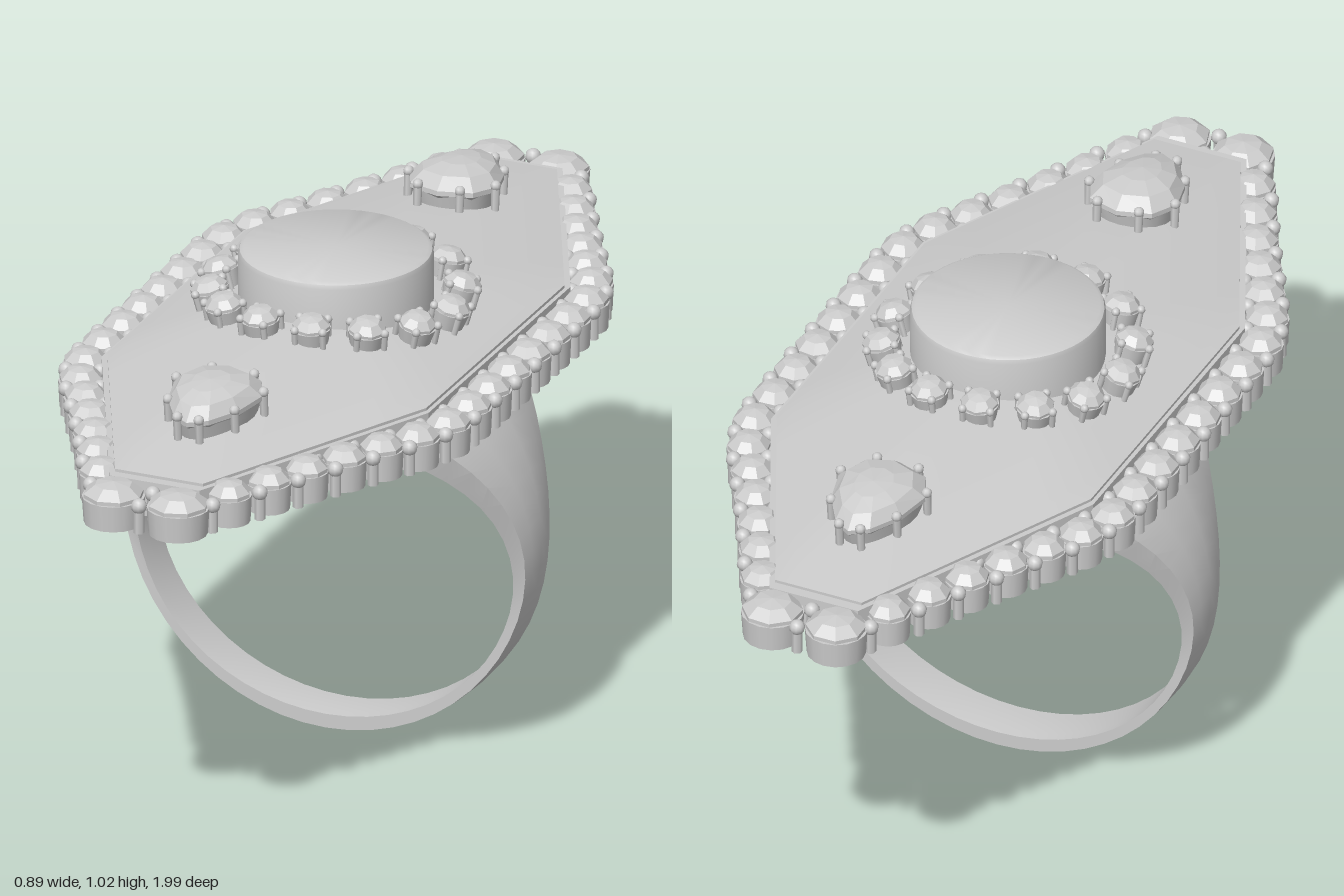
import * as THREE from 'three';
import { mergeVertices, toCreasedNormals } from 'three/addons/utils/BufferGeometryUtils.js';

const smooth = new THREE.MeshStandardMaterial({ color: 0xcccccc });
const faceted = new THREE.MeshStandardMaterial({ color: 0xcccccc, flatShading: true });
const V = (x, y, z) => new THREE.Vector3(x, y, z);

function add(parent, name, geometry, material, x = 0, y = 0, z = 0) {
  const mesh = new THREE.Mesh(geometry, material);
  mesh.name = name;
  mesh.position.set(x, y, z);
  parent.add(mesh);
  return mesh;
}

function lathe(points, segments) {
  return new THREE.LatheGeometry(points.map(p => new THREE.Vector2(p[0], p[1])), segments);
}

// Skin a series of closed cross-sections; wrap joins the last to the first
function skin(loops, wrap, crease) {
  const n = loops[0].length, m = loops.length, index = [];
  for (let i = 0; i < (wrap ? m : m - 1); i++) {
    for (let j = 0; j < n; j++) {
      const a = i * n + j, b = i * n + (j + 1) % n;
      const c = ((i + 1) % m) * n + j, d = ((i + 1) % m) * n + (j + 1) % n;
      index.push(a, b, c, b, d, c);
    }
  }
  const geo = new THREE.BufferGeometry().setFromPoints(loops.flat());
  geo.setIndex(index);
  return toCreasedNormals(mergeVertices(geo), crease);
}

// Elongated octagon outline, shared by the plate, frame and dome
const CORNERS = [[0.345, -0.34], [0.345, 0.34], [0.095, 0.87], [-0.095, 0.87],
  [-0.345, 0.34], [-0.345, -0.34], [-0.095, -0.87], [0.095, -0.87]];

function octagon(scale, Type = THREE.Shape) {
  return new Type(CORNERS.map(([x, z]) => new THREE.Vector2(x * scale, z * scale)));
}

function slab(shape, y0, y1) {
  const geo = new THREE.ExtrudeGeometry(shape, { depth: y1 - y0, bevelEnabled: false });
  return geo.rotateX(-Math.PI / 2).translate(0, y0, 0);
}

const domeY = s => 0.868 + 0.07 * (1 - Math.pow(s, 1.7));

function buildDome() {
  const loops = [];
  for (let i = 0; i <= 12; i++) {
    const s = 0.02 + 0.98 * i / 12, loop = [];
    CORNERS.forEach(([x, z], k) => {
      const [nx, nz] = CORNERS[(k + 1) % 8];
      for (let e = 0; e < 5; e++) {
        const f = e / 5;
        loop.push(V((x + (nx - x) * f) * s, domeY(s), (z + (nz - z) * f) * s));
      }
    });
    loops.push(loop);
  }
  return skin(loops, false, 0.6);
}

// Finger band: thin below, flaring along z up to the plate
function buildShank() {
  const loops = [], N = 56;
  for (let i = 0; i < N; i++) {
    const t = i / N * Math.PI * 2, sx = Math.sin(t), cy = -Math.cos(t);
    const inner = V(0.405 * sx, 0.4 + 0.36 * cy, 0);
    const outer = V(0.445 * sx, 0.465 + 0.46 * cy, 0);
    const up = THREE.MathUtils.smoothstep(outer.y, 0.2, 0.7);
    const at = (f, z) => {
      const p = inner.clone().lerp(outer, f);
      return V(p.x, Math.min(p.y, 0.82), z);
    };
    const edge = 0.9 - 0.3 * up;
    const y = Math.min(at(edge, 0).y, 0.79);
    const w = 0.05 + 0.23 * Math.pow(Math.max(0, (y - 0.3) / 0.485), 2.5);
    const fi = 0.06 + 0.12 * up;
    loops.push([at(0, 0), at(fi * 0.4, w * 0.6), at(fi, w), at(edge, w), at(edge + (1 - edge) * 0.65, w * 0.6),
      at(1, 0), at(edge + (1 - edge) * 0.65, -w * 0.6), at(edge, -w), at(fi, -w), at(fi * 0.4, -w * 0.6)]);
  }
  return skin(loops, true, 0.7);
}

// Border stones: a quarter of the outline, mirrored into a closed loop of [x, z, radius]
const QUARTER = [[0.395, 0.048, 0.046], [0.395, 0.145, 0.046], [0.395, 0.243, 0.046], [0.392, 0.34, 0.046],
  [0.364, 0.427, 0.045], [0.32, 0.503, 0.044], [0.274, 0.582, 0.045], [0.228, 0.664, 0.045],
  [0.184, 0.748, 0.045], [0.138, 0.838, 0.045], [0.07, 0.934, 0.063]];

function buildBorder() {
  const border = new THREE.Group();
  border.name = 'stoneBorder';
  const flip = (sx, sz) => QUARTER.map(([x, z, r]) => [x * sx, z * sz, r]);
  const loop = [...flip(1, 1), ...flip(-1, 1).reverse(), ...flip(-1, -1), ...flip(1, -1).reverse()];
  const setting = new THREE.CylinderGeometry(1, 0.94, 0.055, 16);
  const gem = lathe([[0.97, 0], [0.97, 0.008], [0.6, 0.026], [0, 0.031]], 8);
  const prong = new THREE.CylinderGeometry(0.011, 0.011, 0.055, 6);
  const bead = new THREE.SphereGeometry(0.016, 10, 8);
  loop.forEach(([x, z, r], i) => {
    add(border, 'borderSetting', setting, smooth, x, 0.8125, z).scale.set(r, 1, r);
    const stone = add(border, 'borderStone', gem, faceted, x, 0.84, z);
    stone.scale.set(r, 1, r);
    stone.rotation.y = i * 0.7;
    // Beaded prongs in the gaps on both sides of the row
    const [nx, nz] = loop[(i + 1) % loop.length];
    const len = Math.hypot(nx - x, nz - z);
    for (const side of [-0.034, 0.034]) {
      const px = (x + nx) / 2 + (nz - z) / len * side;
      const pz = (z + nz) / 2 - (nx - x) / len * side;
      add(border, 'borderProng', prong, smooth, px, 0.8125, pz);
      add(border, 'borderBead', bead, smooth, px, 0.842, pz);
    }
  });
  return border;
}

// Fourteen small stones tilted outward around the centre
function buildHalo() {
  const halo = new THREE.Group();
  halo.name = 'haloStones';
  const setting = new THREE.CylinderGeometry(0.039, 0.032, 0.04, 14);
  const gem = lathe([[0.038, 0], [0.038, 0.006], [0.024, 0.021], [0, 0.025]], 8);
  const prong = new THREE.CylinderGeometry(0.007, 0.006, 0.05, 6);
  const bead = new THREE.SphereGeometry(0.009, 8, 6);
  for (let k = 0; k < 14; k++) {
    const a = (k + 0.5) / 14 * Math.PI * 2, dx = Math.sin(a), dz = Math.cos(a);
    const unit = new THREE.Group();
    unit.name = 'haloStone';
    unit.position.set(dx * 0.245, 0.915 + 0.022 * dz * dz, dz * 0.25);
    unit.rotation.set(0.12 + 0.16 * dx * dx, a, 0, 'YXZ');
    add(unit, 'haloSetting', setting, smooth);
    add(unit, 'haloGem', gem, faceted, 0, 0.02, 0);
    for (let p = 0; p < 4; p++) {
      const b = (p + 0.5) * Math.PI / 2, px = Math.sin(b) * 0.04, pz = Math.cos(b) * 0.04;
      add(unit, 'haloProng', prong, smooth, px, 0, pz);
      add(unit, 'haloBead', bead, smooth, px, 0.025, pz);
    }
    halo.add(unit);
  }
  return halo;
}

// Pear-shaped gem with its narrow end toward +z
const pearX = (x, z) => x * 0.09 * (1 - 0.35 * z);

function pear(points, segments) {
  const geo = lathe(points, segments), pos = geo.attributes.position;
  for (let i = 0; i < pos.count; i++) {
    const x = pos.getX(i), z = pos.getZ(i);
    pos.setXYZ(i, pearX(x, z), pos.getY(i), z * 0.12);
  }
  geo.computeVertexNormals();
  return geo;
}

function buildPear(back) {
  const unit = new THREE.Group();
  unit.name = back ? 'backPearStone' : 'frontPearStone';
  add(unit, 'pearSetting', pear([[0.82, -0.05], [0.95, 0]], 24), smooth);
  add(unit, 'pearGem', pear([[0.9, -0.01], [1, 0], [1, 0.01], [0.78, 0.034], [0.42, 0.046], [0, 0.05]], 10), faceted);
  const prong = new THREE.CylinderGeometry(0.009, 0.008, 0.065, 6);
  const bead = new THREE.SphereGeometry(0.011, 8, 6);
  for (let p = 0; p < 8; p++) {
    const a = (p + 0.5) * Math.PI / 4, s = Math.sin(a), c = Math.cos(a);
    add(unit, 'pearProng', prong, smooth, pearX(s, c), -0.018, c * 0.12);
    add(unit, 'pearBead', bead, smooth, pearX(s, c), 0.015, c * 0.12);
  }
  unit.position.set(0, 0.93, back ? -0.615 : 0.615);
  unit.rotation.set(0.08, back ? Math.PI : 0, 0, 'YXZ');
  return unit;
}

export function createModel() {
  const ring = new THREE.Group();
  ring.name = 'ring';
  add(ring, 'shank', buildShank(), smooth);

  // Octagonal plate, raised frame beneath it and domed top
  add(ring, 'plate', slab(octagon(1.025), 0.805, 0.862), smooth);
  const frame = octagon(1.025);
  frame.holes.push(octagon(0.92, THREE.Path));
  add(ring, 'underFrame', slab(frame, 0.788, 0.806), smooth);
  add(ring, 'domeEdge', slab(octagon(1), 0.86, 0.868), smooth);
  add(ring, 'dome', buildDome(), smooth);

  // Central round bezel with a softened rim
  const bezel = lathe([[0.194, 0.87], [0.194, 1.012], [0.191, 1.021], [0.183, 1.026], [0, 1.026]], 48);
  add(ring, 'centreBezel', toCreasedNormals(bezel, 0.6), smooth);

  ring.add(buildHalo(), buildPear(false), buildPear(true), buildBorder());
  return ring;
}
